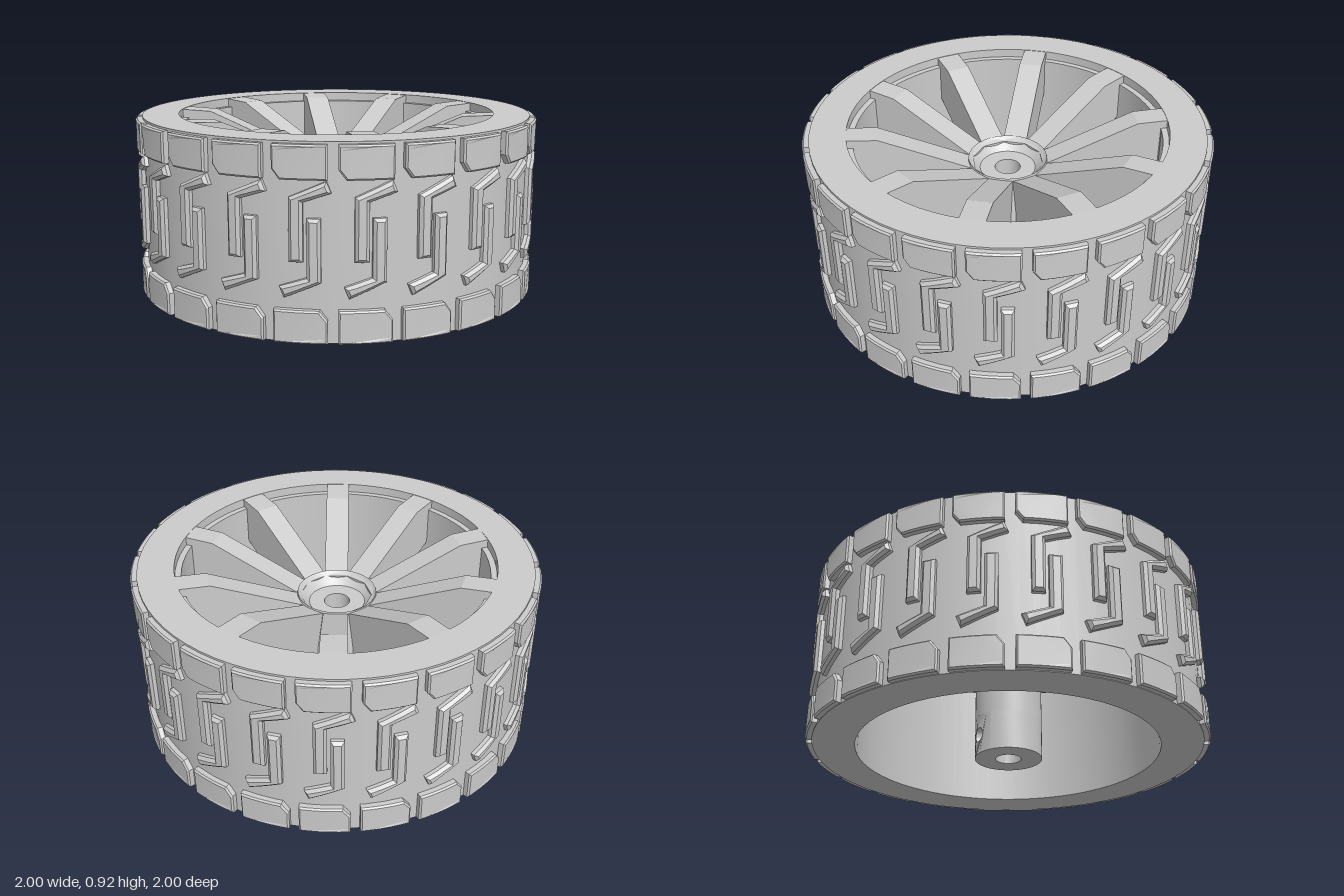
import * as THREE from 'three';
import { toCreasedNormals } from 'three/addons/utils/BufferGeometryUtils.js';

const material = new THREE.MeshStandardMaterial({ color: 0xcccccc });
const TREADS = 22, SPOKES = 10;

function add(parent, name, geometry, crease = 0.5) {
  const mesh = new THREE.Mesh(toCreasedNormals(geometry, crease), material);
  mesh.name = name;
  parent.add(mesh);
  return mesh;
}

const lathe = (points, segments, start = 0, length = Math.PI * 2) =>
  new THREE.LatheGeometry(points.map(([r, y]) => new THREE.Vector2(r, y)), segments, start, length);

// Outline with long edges split, so that it can follow a curved surface
function outline(points, step) {
  const out = [];
  points.forEach((p, i) => {
    const a = new THREE.Vector2(...p), b = new THREE.Vector2(...points[(i + 1) % points.length]);
    const n = Math.max(1, Math.round(Math.abs(b.x - a.x) / step));
    for (let k = 0; k < n; k++) out.push(a.clone().lerp(b, k / n));
  });
  return new THREE.Shape(out);
}

// Extrudes a shape outwards and wraps it around the y axis, ending at radius outer
function wrap(shape, outer, depth, bevel) {
  const geometry = new THREE.ExtrudeGeometry(shape, {
    depth: depth - bevel, bevelEnabled: bevel > 0, bevelThickness: bevel,
    bevelSize: bevel, bevelOffset: -bevel, bevelSegments: 1, curveSegments: 12,
  });
  const p = geometry.attributes.position;
  for (let i = 0; i < p.count; i++) {
    const angle = p.getX(i) / outer, r = outer - depth + p.getZ(i);
    p.setXYZ(i, r * Math.sin(angle), p.getY(i), r * Math.cos(angle));
  }
  return geometry;
}

export function createModel() {
  const wheel = new THREE.Group();
  wheel.name = 'wheel';

  // Tyre and barrel, with a small ledge inside the upper lip
  add(wheel, 'tyreAndRim', lathe([
    [0.76, 0.035], [0.968, 0.035], [0.968, 0.915], [0.79, 0.915],
    [0.79, 0.87], [0.76, 0.87], [0.76, 0.035],
  ], 72));

  // Shoulder blocks with one cut corner, and the hooked bars between them
  const block = [[-0.12, 0.05], [-0.12, -0.03], [-0.085, -0.075], [0.12, -0.075], [0.12, 0.075], [-0.12, 0.075]];
  const hook = [[-0.07, -0.095], [-0.008, -0.095], [-0.008, 0.165], [0.115, 0.205], [0.094, 0.255], [-0.07, 0.185]];
  const turned = (points) => points.map(([x, y]) => [-x, -y]);
  const treads = [
    ['upperShoulderBlock', block, 0.83, 5.2, 0.008],
    ['lowerShoulderBlock', turned(block), 0.113, 5.2, 0.008],
    ['upperHookBar', hook, 0.495, 6.4, 0.014],
    ['lowerHookBar', turned(hook), 0.495, 6.4, 0.014],
  ];
  for (const [name, points, y, degrees, bevel] of treads) {
    const geometry = wrap(outline(points, 0.05), 1, 0.04, bevel);
    for (let i = 0; i < TREADS; i++) {
      const mesh = add(wheel, name, geometry, 0.3);
      mesh.position.y = y;
      mesh.rotation.y = THREE.MathUtils.degToRad(degrees) + (i * 2 * Math.PI) / TREADS;
    }
  }

  // Dished spokes: flat at the rim, then sloping down to the hub
  const profile = new THREE.Shape([
    [0.17, 0.47], [0.25, 0.46], [0.775, 0.68], [0.775, 0.86], [0.81, 0.88], [0.81, 0.914],
    [0.64, 0.905], [0.17, 0.7],
  ].map((p) => new THREE.Vector2(...p)));
  const spoke = new THREE.ExtrudeGeometry(profile, { depth: 0.12, bevelEnabled: false });
  spoke.translate(0, 0, -0.06);
  for (let i = 0; i < SPOKES; i++) {
    add(wheel, 'spoke', spoke, 0.1).rotation.y = THREE.MathUtils.degToRad(9 + i * 36);
  }

  // Hub: conical cup on top, flange below the spokes, and a bored shaft sleeve
  const hub = new THREE.Group();
  hub.name = 'hub';
  wheel.add(hub);
  add(hub, 'hubCup', lathe([
    [0.064, 0.2], [0.168, 0.2], [0.168, 0.45], [0.24, 0.46], [0.24, 0.52], [0.197, 0.72],
    [0.14, 0.66], [0.064, 0.66], [0.064, 0.2],
  ], 40));

  // Lower sleeve, with a cross hole for a set screw through front and back
  const sleeve = [[0.064, 0], [0.168, 0], [0.168, 0.2], [0.064, 0.2], [0.064, 0]];
  const half = (0.168 * Math.PI) / 6;
  const panel = outline([[-half, 0], [half, 0], [half, 0.2], [-half, 0.2]], 0.025);
  panel.holes.push(new THREE.Path().absarc(0, 0.1, 0.036, 0, Math.PI * 2, true));
  for (const turn of [0, Math.PI]) {
    add(hub, 'sleeveSide', lathe(sleeve, 14, Math.PI / 6 + turn, (Math.PI * 2) / 3));
    add(hub, 'sleeveScrewHole', wrap(panel, 0.168, 0.104, 0)).rotation.y = turn;
  }
  hub.position.x = -0.005;
  return wheel;
}
